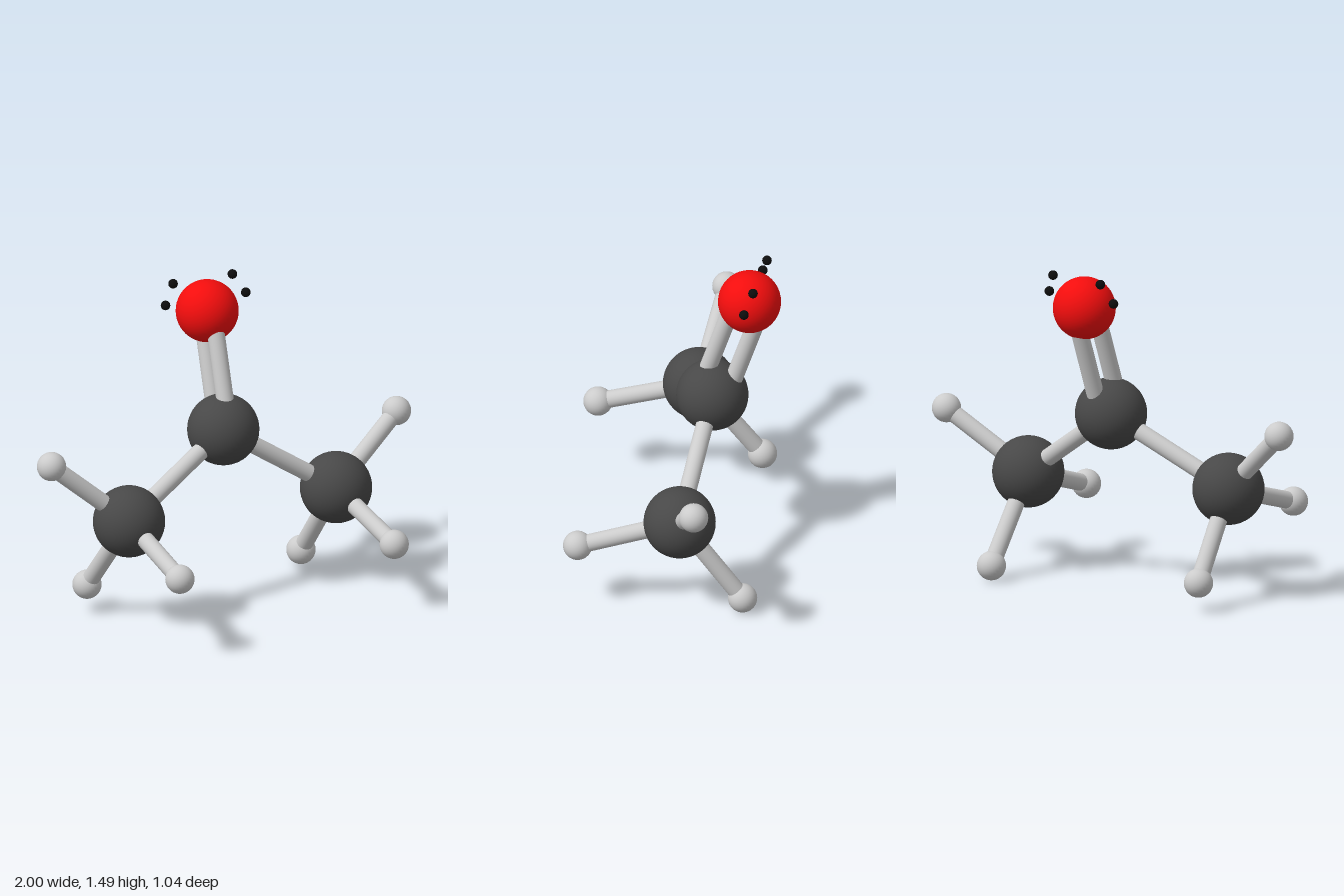
import * as THREE from 'three';

const paint = (color) => new THREE.MeshStandardMaterial({ color });

export function createModel() {
  const model = new THREE.Group();
  const grey = paint(0xcccccc), dark = paint(0x484848), red = paint(0xf20d0d), black = paint(0x0d0d0d);
  const v = (p) => new THREE.Vector3(...p);

  const ball = (name, p, radius, material, detail = 48) => {
    const mesh = new THREE.Mesh(new THREE.SphereGeometry(radius, detail, detail / 2), material);
    mesh.name = name;
    mesh.position.copy(v(p));
    model.add(mesh);
  };

  // Rod between two atom centres, optionally shifted sideways
  const rod = (name, p, q, shift = new THREE.Vector3()) => {
    const a = v(p), b = v(q), axis = b.clone().sub(a);
    const mesh = new THREE.Mesh(new THREE.CylinderGeometry(0.04, 0.04, axis.length(), 32), grey);
    mesh.name = name;
    mesh.position.copy(a).add(b).multiplyScalar(0.5).add(shift);
    mesh.quaternion.setFromUnitVectors(new THREE.Vector3(0, 1, 0), axis.normalize());
    model.add(mesh);
  };

  // Central carbon and oxygen joined by a double bond
  const centre = [0, 0.817, -0.197];
  const oxygen = [0.002, 1.335, -0.371];
  ball('centralCarbon', centre, 0.165, dark);
  ball('oxygen', oxygen, 0.144, red);
  const across = v(oxygen).sub(v(centre)).normalize().cross(new THREE.Vector3(-1, 0, 0)).normalize();
  for (const s of [-1, 1]) {
    rod(s > 0 ? 'doubleBondFront' : 'doubleBondBack', centre, oxygen, across.clone().multiplyScalar(0.064 * s));
  }

  // Side carbons, each with three hydrogens
  const sides = [
    { side: 'right', carbon: [-0.565, 0.52, -0.012],
      hydrogens: [[-0.933, 0.827, -0.062], [-0.53, 0.386, 0.452], [-0.644, 0.135, -0.291]] },
    { side: 'left', carbon: [0.555, 0.459, -0.165],
      hydrogens: [[0.931, 0.723, -0.312], [0.629, 0.321, 0.295], [0.514, 0.069, -0.45]] },
  ];
  for (const { side, carbon, hydrogens } of sides) {
    ball(`${side}Carbon`, carbon, 0.165, dark);
    rod(`${side}CarbonBond`, centre, carbon);
    hydrogens.forEach((h, i) => {
      ball(`${side}Hydrogen${i + 1}`, h, 0.067, grey, 32);
      rod(`${side}HydrogenBond${i + 1}`, carbon, h);
    });
  }

  // Two electron pairs floating beside the oxygen
  for (const s of [-1, 1]) {
    const side = s > 0 ? 'left' : 'right';
    ball(`${side}UpperElectron`, [0.003 + 0.15 * s, 1.473, -0.42], 0.022, black, 24);
    ball(`${side}LowerElectron`, [0.003 + 0.203 * s, 1.386, -0.389], 0.022, black, 24);
  }
  return model;
}
